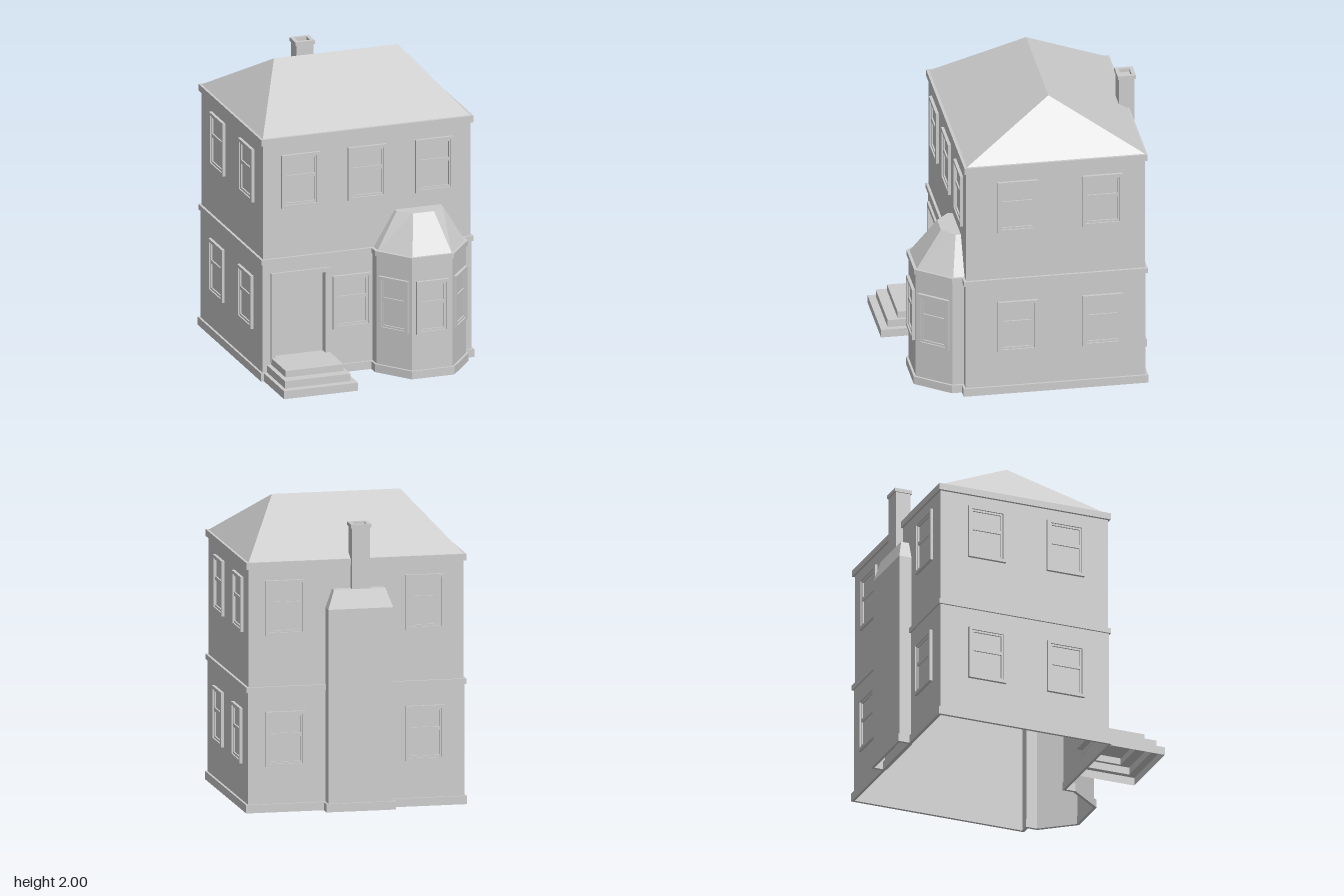
import * as THREE from 'three';

const material = new THREE.MeshStandardMaterial({ color: 0xcccccc, flatShading: true, side: THREE.DoubleSide });

function add(parent, name, geometry, x = 0, y = 0, z = 0) {
  const mesh = new THREE.Mesh(geometry, material);
  mesh.name = name;
  mesh.position.set(x, y, z);
  parent.add(mesh);
  return mesh;
}

const rect = (x0, x1, z0, z1) => [[x0, z1], [x1, z1], [x1, z0], [x0, z0]];

// Flat-faced skin through outlines [[x, z], ...] at given heights; bottom stays open
function loft(levels, { closed = true, cap = false } = {}) {
  const pos = [];
  const push = (p, y) => pos.push(p[0], y, p[1]);
  for (let k = 0; k + 1 < levels.length; k++) {
    const [a, ya] = levels[k], [b, yb] = levels[k + 1];
    const count = closed ? a.length : a.length - 1;
    for (let i = 0; i < count; i++) {
      const j = (i + 1) % a.length;
      push(a[i], ya); push(a[j], ya); push(b[j], yb);
      push(a[i], ya); push(b[j], yb); push(b[i], yb);
    }
  }
  if (cap) {
    const [top, y] = levels[levels.length - 1];
    for (let i = 1; i + 1 < top.length; i++) {
      push(top[0], y); push(top[i], y); push(top[i + 1], y);
    }
  }
  const g = new THREE.BufferGeometry();
  g.setAttribute('position', new THREE.Float32BufferAttribute(pos, 3));
  g.computeVertexNormals();
  return g;
}

const toShape = (pts) => new THREE.Shape(pts.map(([x, y]) => new THREE.Vector2(x, y)));

function holed(outer, ...holes) {
  const shape = toShape(outer);
  holes.forEach((h) => shape.holes.push(toShape(h)));
  return shape;
}

const extrude = (shape, depth) => new THREE.ExtrudeGeometry(shape, { depth, bevelEnabled: false });

// Horizontal moulding between two outlines, with its top at y
function moulding(parent, name, outer, inner, y, height) {
  add(parent, name, extrude(holed(outer, inner), height).rotateX(Math.PI / 2), 0, y, 0);
}

// Ground floor outline with bay, grown by d; starts where the bay leaves the front wall
const footprint = (d) => [
  [0.04 - d, 0.445 + d], [0.04 - d, 0.52 + d * 0.45], [0.21 - d * 0.5, 0.735 + d],
  [0.49 + d * 0.5, 0.735 + d], [0.66 + d, 0.52 + d * 0.45], [0.66 + d, 0.445 + d],
  [0.725 + d, 0.445 + d], [0.725 + d, -0.75 - d], [-0.725 - d, -0.75 - d], [-0.725 - d, 0.445 + d],
];

// Sash window: raised surround and two framed panes, facing along (nx, nz)
function addWindow(parent, x, y, z, nx, nz, w = 0.265) {
  const win = new THREE.Group();
  win.name = 'sashWindow';
  const a = w / 2, b = a - 0.022, c = a - 0.034;
  const h = 0.183;
  add(win, 'windowSurround', extrude(holed(rect(-a, a, -h, h), rect(-b, b, -h + 0.02, h - 0.02)), 0.02));
  add(win, 'windowSashes', extrude(holed(rect(-b, b, -h + 0.02, h - 0.02),
    rect(-c, c, -h + 0.033, 0.016), rect(-c, c, 0.04, h - 0.033)), 0.01));
  win.position.set(x, y, z);
  win.rotation.y = Math.atan2(nx, nz);
  parent.add(win);
}

export function createModel() {
  const house = new THREE.Group();
  house.name = 'house';

  // Ground floor shell, with a door opening in the front wall
  const base = footprint(0);
  add(house, 'groundFloorWalls', loft([[base, 0], [base, 0.82]], { closed: false }));
  const doorHole = rect(-0.64, -0.295, 0.15, 0.705);
  add(house, 'frontWall', new THREE.ShapeGeometry(holed(rect(-0.725, 0.04, 0, 0.82), doorHole)), 0, 0, 0.445);

  // Upper floor shell
  const upper = rect(-0.72, 0.72, -0.745, 0.44);
  add(house, 'upperFloorWalls', loft([[upper, 0.81], [upper, 1.64]]));

  // Plinth, string course and eaves
  moulding(house, 'plinth', footprint(0.015), footprint(-0.004), 0.055, 0.055);
  moulding(house, 'stringCourse', footprint(0.012), footprint(-0.015), 0.835, 0.035);
  add(house, 'eaves', new THREE.BoxGeometry(1.474, 0.045, 1.214), 0, 1.6425, -0.1525);

  // Hipped roof
  const ridge = [[-0.43, -0.155], [0.43, -0.155], [0.43, -0.155], [-0.43, -0.155]];
  add(house, 'hippedRoof', loft([[rect(-0.72, 0.72, -0.745, 0.435), 1.665], [ridge, 2]]));

  // Bay roof
  const bayBase = [[0.05, 0.44], [0.05, 0.515], [0.215, 0.728], [0.487, 0.728], [0.655, 0.515], [0.655, 0.44]];
  const bayTop = [[0.195, 0.44], [0.195, 0.475], [0.28, 0.557], [0.425, 0.557], [0.515, 0.475], [0.515, 0.44]];
  add(house, 'bayRoof', loft([[bayBase, 0.835], [bayTop, 1.075]], { cap: true }));

  // Door, surround and hollow steps
  add(house, 'doorSurround',
    extrude(holed(rect(-0.67, -0.265, 0.12, 0.735), doorHole), 0.017), 0, 0, 0.443);
  add(house, 'doorJamb',
    extrude(holed(rect(-0.645, -0.29, 0.145, 0.71), doorHole), 0.04), 0, 0, 0.405);
  add(house, 'frontDoor', new THREE.BoxGeometry(0.355, 0.565, 0.01), -0.4675, 0.4275, 0.405);
  const treads = [
    rect(-0.72, -0.205, 0.445, 0.845),
    rect(-0.695, -0.24, 0.445, 0.795),
    rect(-0.665, -0.262, 0.445, 0.725),
  ];
  const heights = [0, 0.055, 0.105, 0.15];
  const stepLevels = treads.flatMap((t, i) => [[t, heights[i]], [t, heights[i + 1]]]);
  add(house, 'frontSteps', loft(stepLevels, { cap: true }));

  // Chimney breast with sloped shoulders, stack and hollow cap
  const breast = rect(-0.23, 0.205, -0.832, -0.74);
  add(house, 'chimneyBreast',
    loft([[breast, 0], [breast, 1.345], [rect(-0.185, 0.16, -0.8, -0.74), 1.47]], { cap: true }));
  moulding(house, 'chimneyPlinth', rect(-0.245, 0.22, -0.845, -0.75), rect(-0.225, 0.2, -0.828, -0.752), 0.055, 0.055);
  add(house, 'chimneyStack', new THREE.BoxGeometry(0.12, 0.46, 0.105), -0.0225, 1.645, -0.7425);
  moulding(house, 'chimneyCap', rect(-0.09, 0.045, -0.803, -0.682), rect(-0.065, 0.02, -0.778, -0.707), 1.9, 0.025);

  // Windows on both floors; the walls step in slightly upstairs
  for (const [y, inset] of [[0.485, 0], [1.358, 0.005]]) {
    for (const z of [0.1, -0.4625]) addWindow(house, 0.725 - inset, y, z, 1, 0);
    for (const z of [0.138, -0.42]) addWindow(house, -0.725 + inset, y, z, -1, 0);
    for (const x of [-0.46, 0.475]) addWindow(house, x, y, -0.75 + inset, 0, -1);
  }
  for (const x of [-0.463, 0, 0.468]) addWindow(house, x, 1.358, 0.44, 0, 1);
  addWindow(house, -0.108, 0.485, 0.445, 0, 1);

  // One window on each bay face
  for (let i = 1; i < 4; i++) {
    const [ax, az] = base[i], [bx, bz] = base[i + 1];
    addWindow(house, (ax + bx) / 2, 0.485, (az + bz) / 2, az - bz, bx - ax, 0.225);
  }

  return house;
}
